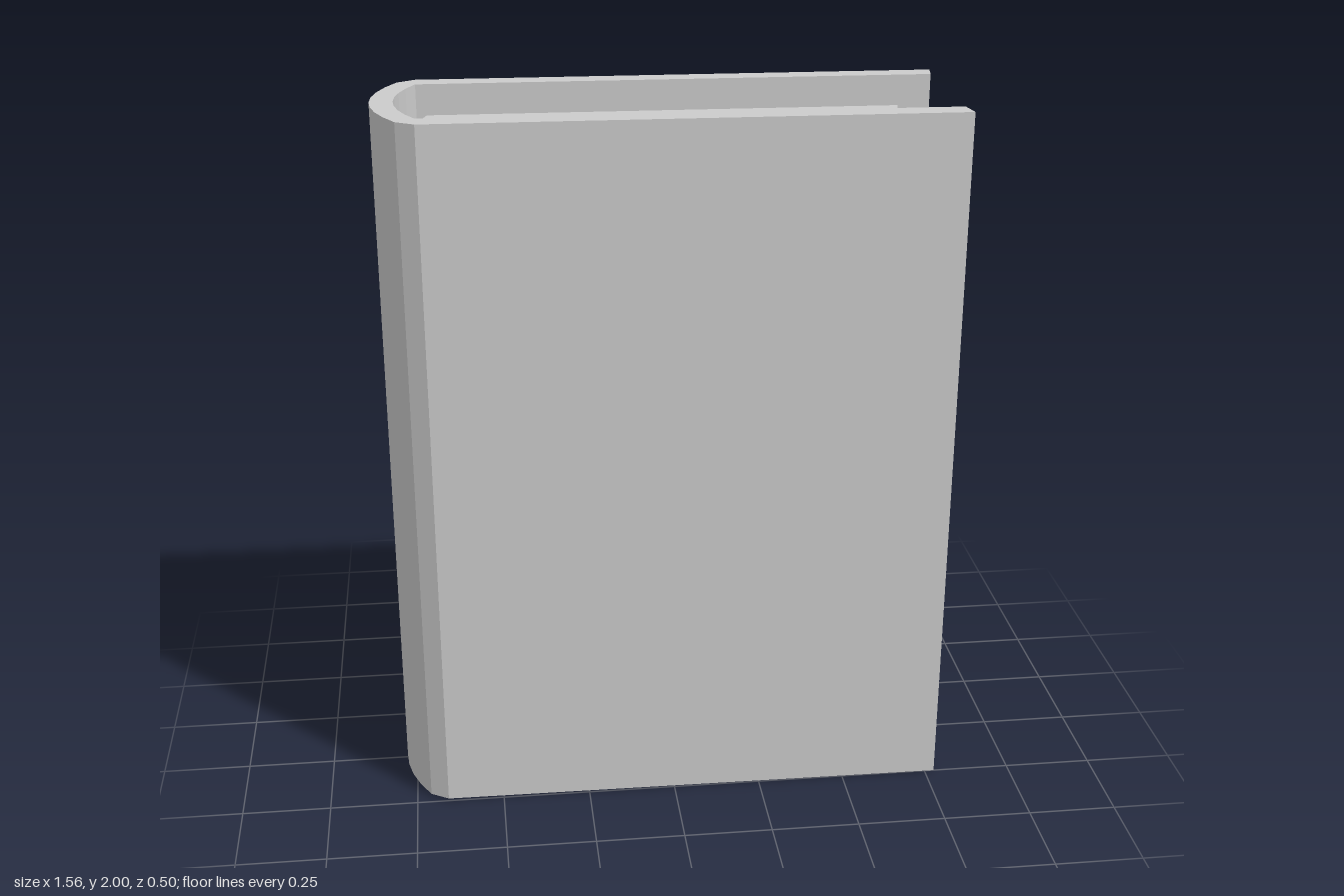
import * as THREE from 'three';

const material = new THREE.MeshStandardMaterial({ color: 0xcccccc });

// Extrudes a plan outline (x, -z) upward from y0 to y1
function upright(name, shape, y0, y1) {
  const geometry = new THREE.ExtrudeGeometry(shape, { depth: y1 - y0, bevelEnabled: false, curveSegments: 8 });
  geometry.rotateX(-Math.PI / 2).translate(0, y0, 0);
  // slight lean: the spine side sits a touch higher than the fore edge
  const pos = geometry.attributes.position;
  for (let i = 0; i < pos.count; i++) pos.setY(i, pos.getY(i) - 0.005 * pos.getX(i));
  geometry.computeVertexNormals();
  const mesh = new THREE.Mesh(geometry, material);
  mesh.name = name;
  return mesh;
}

export function createModel() {
  const book = new THREE.Group();
  book.name = 'book';

  // Cover: two boards joined by a rounded spine of even thickness
  const cover = new THREE.Shape();
  cover.moveTo(0.778, 0.255);
  cover.lineTo(-0.66, 0.255);
  cover.lineTo(-0.71, 0.225);
  cover.quadraticCurveTo(-0.85, 0, -0.71, -0.22);
  cover.lineTo(-0.66, -0.25);
  cover.lineTo(0.778, -0.25);
  cover.lineTo(0.768, -0.188);
  cover.lineTo(-0.66, -0.188);
  cover.quadraticCurveTo(-0.775, 0, -0.66, 0.198);
  cover.lineTo(0.768, 0.198);
  cover.closePath();
  book.add(upright('cover', cover, 0.004, 1.996));

  // Page block: rounded back, hollow fore edge
  const pages = new THREE.Shape();
  pages.moveTo(0.678, 0.198);
  pages.lineTo(-0.632, 0.198);
  pages.quadraticCurveTo(-0.708, 0, -0.632, -0.188);
  pages.lineTo(0.678, -0.188);
  pages.quadraticCurveTo(0.632, 0, 0.678, 0.198);
  book.add(upright('pages', pages, 0.085, 1.91));

  return book;
}
